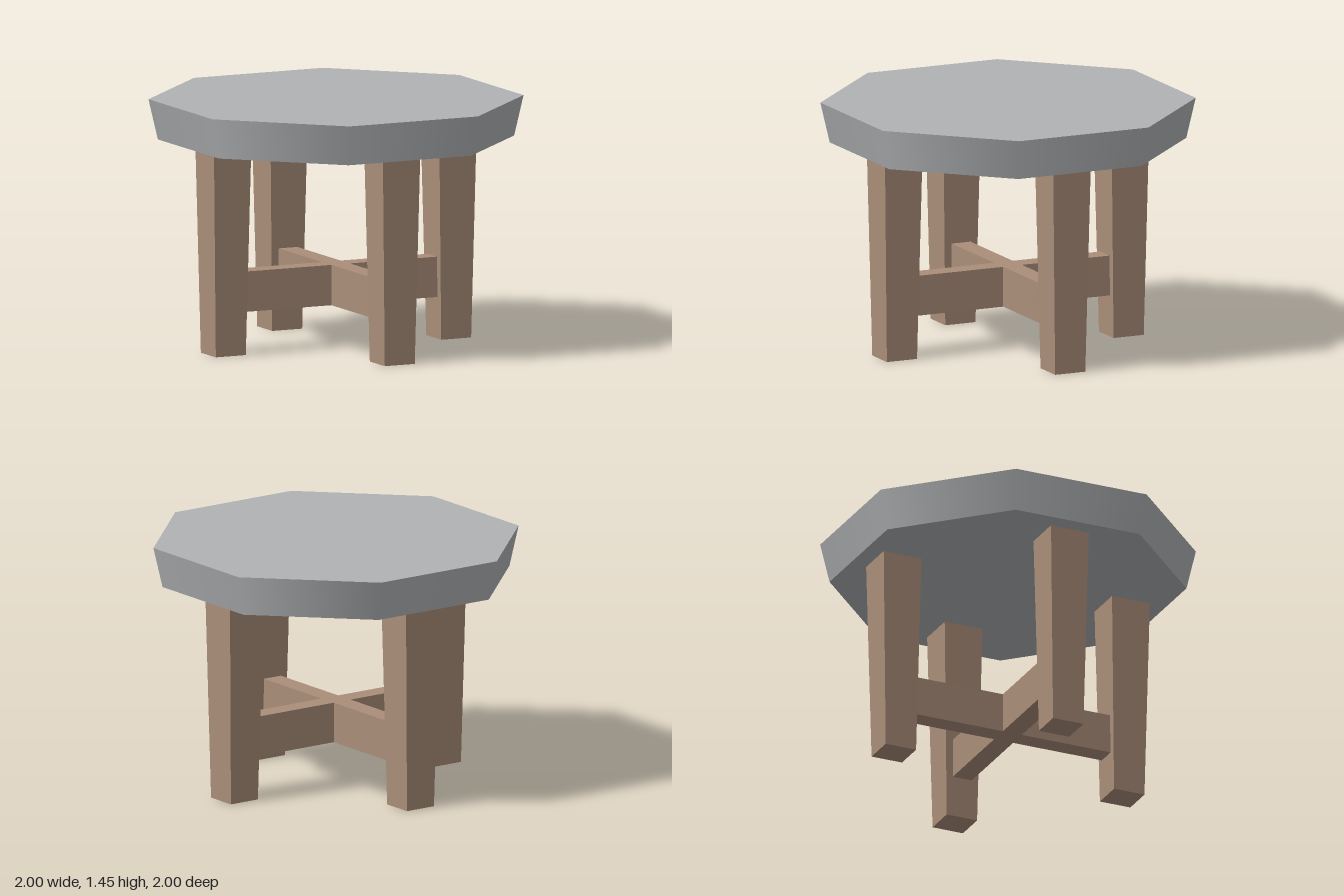
import * as THREE from 'three';

export function createModel() {
  const group = new THREE.Group();
  const stone = new THREE.MeshStandardMaterial({ name: 'grey stone', color: 0xb0b2b4 });
  const wood = new THREE.MeshStandardMaterial({ name: 'brown wood', color: 0xaa8e79 });

  const add = (name, geometry, material, x, y, z) => {
    const mesh = new THREE.Mesh(geometry, material);
    mesh.name = name;
    mesh.position.set(x, y, z);
    group.add(mesh);
    return mesh;
  };

  // Octagonal top, narrower below, with smooth side normals
  const corner = 1 / Math.cos(Math.PI / 8);
  const topGeometry = new THREE.CylinderGeometry(corner, 0.95 * corner, 0.235, 8);
  topGeometry.rotateY(Math.PI / 8);
  add('tableTop', topGeometry, stone, 0, 1.3275, 0);

  // Square legs that taper towards the floor
  const legHeight = 1.21;
  const legGeometry = new THREE.CylinderGeometry(0.12 * Math.SQRT2, 0.0965 * Math.SQRT2, legHeight, 4)
    .rotateY(Math.PI / 4)
    .toNonIndexed();
  legGeometry.computeVertexNormals();
  const legs = { leftLeg: [0.725, 0], rightLeg: [-0.725, 0], frontLeg: [0, 0.725], backLeg: [0, -0.725] };
  for (const [name, [x, z]] of Object.entries(legs)) {
    add(name, legGeometry, wood, x, legHeight / 2, z);
  }

  // Cross-shaped stretcher joining the legs
  const w = 0.06, r = 0.7;
  const cross = new THREE.Shape();
  for (let i = 0; i < 4; i++) {
    const c = Math.round(Math.cos(i * Math.PI / 2)), s = Math.round(Math.sin(i * Math.PI / 2));
    for (const [x, y] of [[r, -w], [r, w], [w, w]]) {
      const px = c * x - s * y, py = s * x + c * y;
      if (i === 0 && y < 0) cross.moveTo(px, py);
      else cross.lineTo(px, py);
    }
  }
  cross.closePath();
  const crossGeometry = new THREE.ExtrudeGeometry(cross, { depth: 0.235, bevelEnabled: false });
  crossGeometry.rotateX(-Math.PI / 2);
  add('crossStretcher', crossGeometry, wood, 0, 0.245, 0);

  return group;
}
